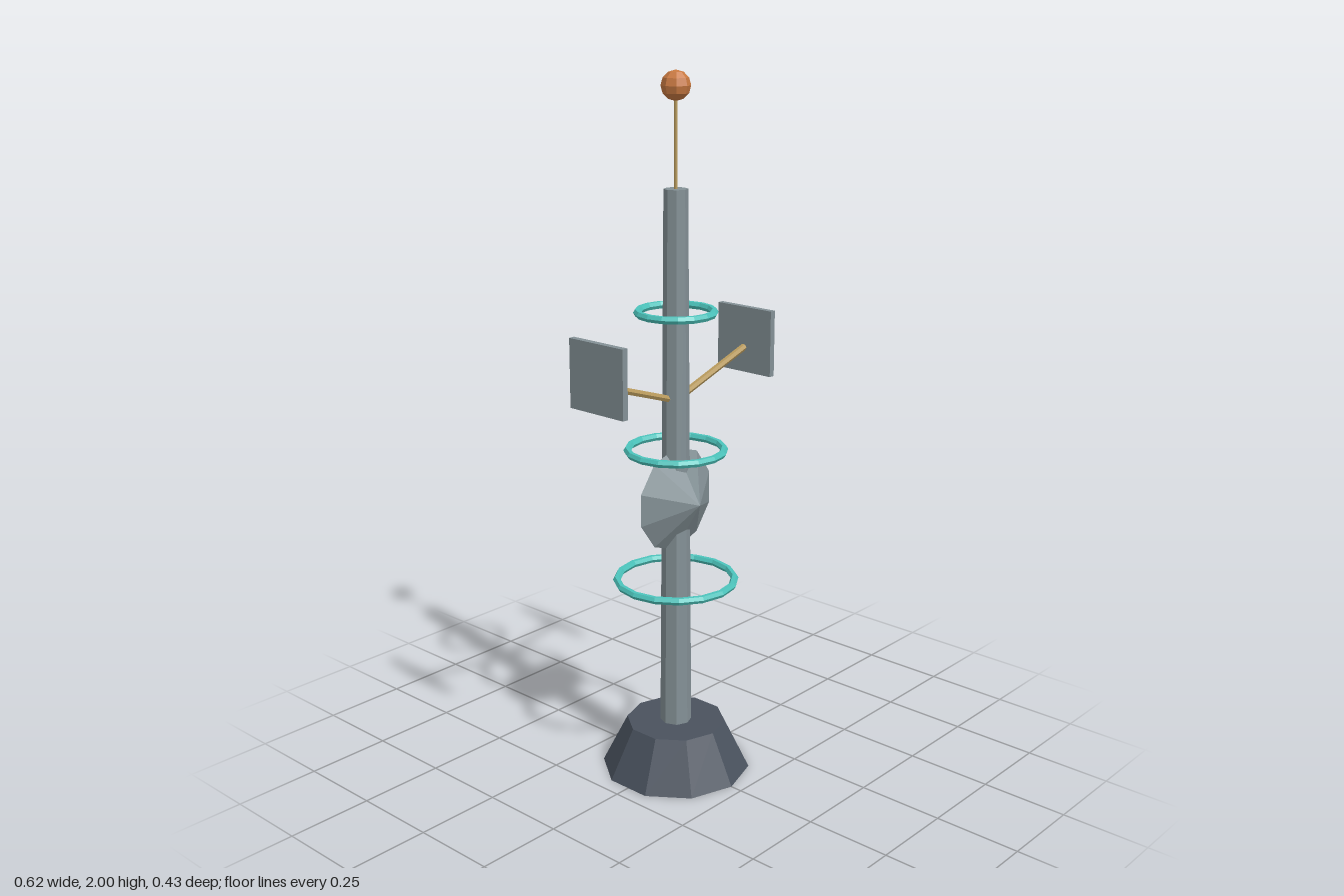
import * as THREE from 'three';

const mat = (name, color) => {
  const m = new THREE.MeshStandardMaterial({ color, flatShading: true });
  m.name = name;
  return m;
};

export function createModel() {
  const group = new THREE.Group();
  const slate = mat('slate', 0x4a525e);
  const steel = mat('steel', 0x849196);
  const teal = mat('teal', 0x4cc4bc);
  const brass = mat('brass', 0xb89a5c);
  const copper = mat('copper', 0xc87941);

  const add = (name, geometry, material, x = 0, y = 0, z = 0) => {
    const mesh = new THREE.Mesh(geometry, material);
    mesh.name = name;
    mesh.position.set(x, y, z);
    group.add(mesh);
    return mesh;
  };

  // Tapered foot and mast
  add('base', new THREE.CylinderGeometry(0.143, 0.215, 0.145, 10), slate, 0, 0.0725);
  add('mast', new THREE.CylinderGeometry(0.033, 0.045, 1.55, 8), steel, 0, 0.918);

  // Antenna rod with ball tip
  add('antenna', new THREE.CylinderGeometry(0.005, 0.005, 0.26, 6), brass, 0, 1.81);
  add('antennaBall', new THREE.SphereGeometry(0.04, 8, 6), copper, 0, 1.96);

  // Shallow cone dish, point forward
  add('dish', new THREE.ConeGeometry(0.15, 0.09, 10).rotateX(Math.PI / 2), steel, 0, 0.826, 0.045);

  // Floating rings, smaller towards the top
  for (const [radius, y] of [[0.168, 0.585], [0.135, 0.97], [0.105, 1.36]]) {
    add('ring', new THREE.TorusGeometry(radius, 0.011, 6, 16).rotateX(Math.PI / 2), teal, 0, y);
  }

  // Raised arms carrying upright panels
  for (const side of [1, -1]) {
    const start = new THREE.Vector3(0, 1.113, 0);
    const end = new THREE.Vector3(side * 0.292, 1.211, 0);
    const dir = end.clone().sub(start);
    const arm = add(side > 0 ? 'leftArm' : 'rightArm',
      new THREE.CylinderGeometry(0.01, 0.01, dir.length(), 6), brass);
    arm.position.copy(start).add(end).multiplyScalar(0.5);
    arm.quaternion.setFromUnitVectors(new THREE.Vector3(0, 1, 0), dir.normalize());
    add(side > 0 ? 'leftPanel' : 'rightPanel',
      new THREE.BoxGeometry(0.018, 0.19, 0.193), steel, side * 0.3, 1.233);
  }

  return group;
}
